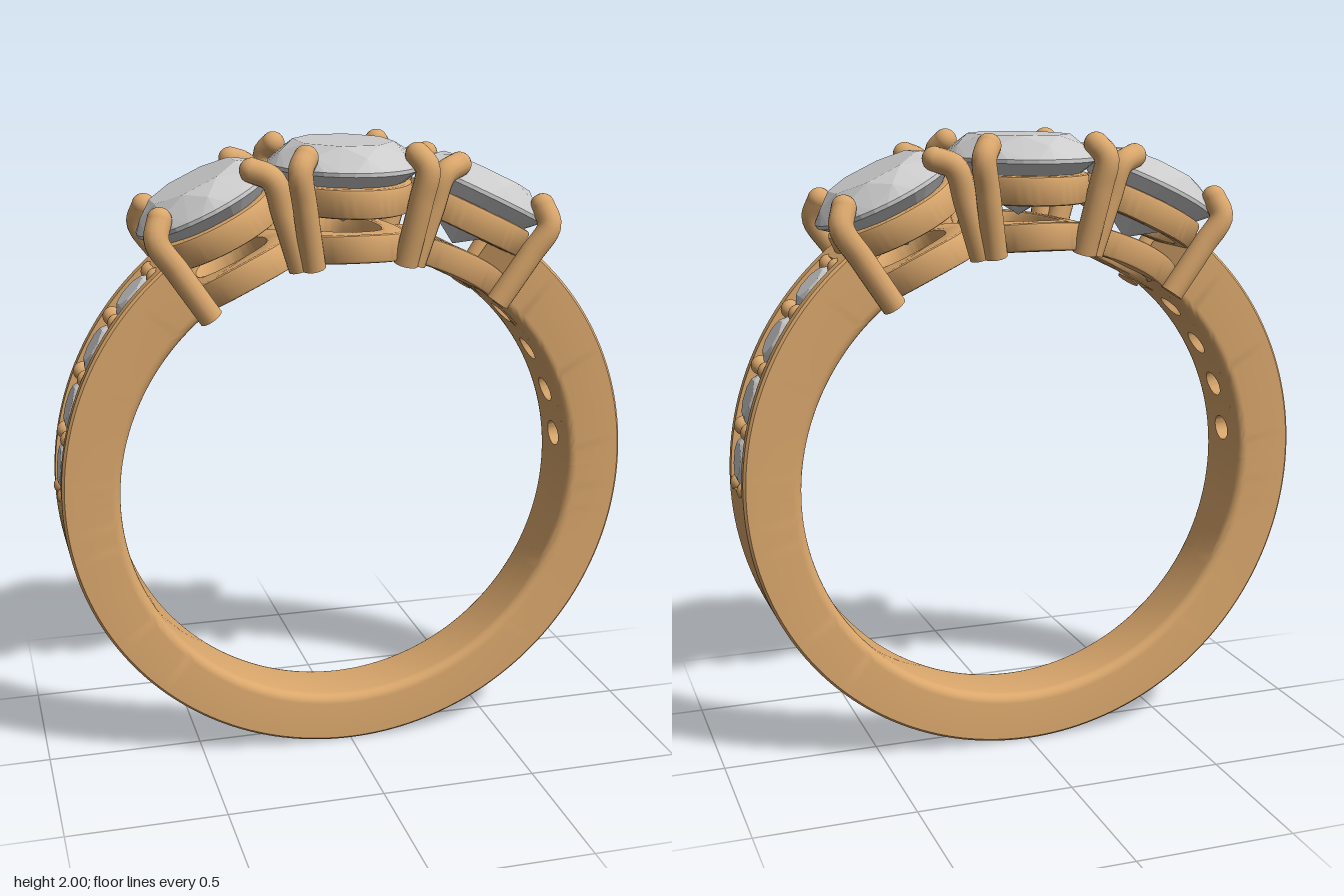
import * as THREE from 'three';
import { toCreasedNormals, mergeGeometries } from 'three/addons/utils/BufferGeometryUtils.js';
import { ConvexGeometry } from 'three/addons/geometries/ConvexGeometry.js';

const metal = new THREE.MeshStandardMaterial({ color: 0xdaa76c });
const gem = new THREE.MeshStandardMaterial({ color: 0xcccccc, flatShading: true });

const CY = 0.905;          // centre height of the finger hole
const RI = 0.743;          // finger hole radius
const CHANNEL = 0.092;     // half width of the stone channel
const START = 0.01, STOP = 0.87, END = 0.93; // channel and band end angles
const STONES = 4;

// Outer circle sits slightly higher than the finger hole, so the band thickens upward
const outerR = t => 0.02 * Math.sin(t) + Math.sqrt(0.925 ** 2 - (0.02 * Math.cos(t)) ** 2);
const floorR = t => outerR(t) - 0.06;
const halfWidth = t => 0.11 + 0.02 * (CY + 0.83 * Math.sin(t));
const polar = (t, r, z) => new THREE.Vector3(r * Math.cos(t), CY + r * Math.sin(t), z);

function mesh(name, geometry, material = metal) {
  const m = new THREE.Mesh(geometry, material);
  m.name = name;
  return m;
}

// Skin over a list of equal-length point loops
function skin(loops) {
  const n = loops[0].length, index = [];
  for (let i = 0; i < loops.length - 1; i++) {
    for (let j = 0; j < n - 1; j++) {
      const a = i * n + j, b = a + n;
      index.push(a, b, a + 1, b, b + 1, a + 1);
    }
  }
  const g = new THREE.BufferGeometry().setFromPoints(loops.flat());
  g.setIndex(index);
  return toCreasedNormals(g, 0.6);
}

// Half of the band section, from the inside face to the outside face at z = -c
function halfSection(t, c) {
  const w = halfWidth(t), R = outerR(t), f = 0.03, e = 0.008;
  const pts = [[RI, -c]];
  for (let k = 0; k <= 5; k++) {
    const a = k / 5 * Math.PI / 2;
    pts.push([RI + f - f * Math.cos(a), -w + f - f * Math.sin(a)]);
  }
  pts.push([R - e, -w], [R, -w + e], [R, -c]);
  if (c > 0) pts.push([floorR(t), -c]);
  return pts;
}

function bandPart(name, t0, t1, c, steps) {
  const parts = [];
  for (const side of [1, -1]) {
    const loopAt = t => {
      const pts = halfSection(t, c).map(([r, z]) => polar(t, r, z * side));
      return side > 0 ? pts : pts.reverse();
    };
    const loops = [];
    for (let i = 0; i <= steps; i++) loops.push(loopAt(t0 + (t1 - t0) * i / steps));
    parts.push(skin(loops));
    if (c === 0) { // end faces of a solid piece
      const first = loops[0], last = loops[steps];
      parts.push(skin([first.map(() => first[0]), first]));
      parts.push(skin([last, last.map(() => last[0])]));
    }
  }
  return mesh(name, mergeGeometries(parts));
}

// Piece of the channel bed with a round hole through the band
function channelBed(tc, half) {
  const N = 32, h = 0.045, loops = [[], [], [], []];
  for (let j = 0; j <= N; j++) {
    const a = j / N * Math.PI * 2, x = Math.cos(a), z = Math.sin(a);
    const k = 1 / Math.max(Math.abs(x), Math.abs(z));
    const tb = tc + half * k * x, th = tc + h * x / 0.8;
    loops[0].push(polar(tb, RI, CHANNEL * k * z));
    loops[1].push(polar(th, RI, h * z));
    loops[2].push(polar(th, floorR(th), h * z));
    loops[3].push(polar(tb, floorR(tb), CHANNEL * k * z));
  }
  return mesh('channelBed', skin(loops));
}

// Faceted stone with its girdle at y = 0
function stoneGeometry(a, b, crown, depth, girdleSides = 32) {
  const pts = [];
  const ring = (n, s, y, shift = 0) => {
    for (let i = 0; i < n; i++) {
      const t = (i + shift) / n * Math.PI * 2;
      pts.push(new THREE.Vector3(a * s * Math.cos(t), y, b * s * Math.sin(t)));
    }
  };
  ring(8, 0.66, crown, 0.5);
  ring(8, 0.86, crown * 0.6);
  ring(girdleSides, 1, 0.006);
  ring(girdleSides, 1, -0.006);
  ring(8, 0.55, -depth * 0.55, 0.5);
  pts.push(new THREE.Vector3(0, -depth, 0));
  return new ConvexGeometry(pts);
}

// Oval rail between heights y0 and y1; a bent rail follows the finger hole
function rail(name, a, b, wall, y0, y1, bent) {
  const e = 0.01;
  const shape = new THREE.Shape().absellipse(0, 0, a, b, 0, Math.PI * 2, false, 0);
  shape.holes.push(new THREE.Path().absellipse(0, 0, a - wall, b - wall, 0, Math.PI * 2, true, 0));
  const g = new THREE.ExtrudeGeometry(shape, {
    depth: y1 - y0 - 2 * e, curveSegments: 48,
    bevelThickness: e, bevelSize: e, bevelOffset: -e, bevelSegments: 2,
  });
  g.rotateX(-Math.PI / 2).translate(0, y0 + e, 0);
  if (bent) {
    const p = g.attributes.position;
    for (let i = 0; i < p.count; i++) p.setY(i, Math.sqrt(p.getY(i) ** 2 - p.getX(i) ** 2));
  }
  return mesh(name, toCreasedNormals(g, 0.7));
}

function prong(points, sx, sz) {
  const r = 0.038, group = new THREE.Group();
  group.name = 'prong';
  const pts = points.map(([x, y, z]) => new THREE.Vector3(x * sx, y, z * sz));
  const curve = new THREE.CatmullRomCurve3(pts);
  const tip = mesh('prongTip', new THREE.SphereGeometry(r, 16, 12));
  tip.position.copy(pts[pts.length - 1]);
  const foot = mesh('prongFoot', new THREE.CircleGeometry(r, 16));
  foot.position.copy(pts[0]);
  foot.lookAt(pts[0].clone().sub(curve.getTangent(0)));
  group.add(mesh('prongShaft', new THREE.TubeGeometry(curve, 24, r, 14)), tip, foot);
  return group;
}

// Complete setting, standing on the finger hole and tilted round its centre
function setting(name, tilt, s) {
  const group = new THREE.Group();
  group.name = name;
  group.position.y = CY;
  group.rotation.z = -tilt;
  const stone = mesh('stone', stoneGeometry(s.a, s.b, 0.073, 0.18), gem);
  stone.position.y = 1.012;
  group.add(stone,
    rail('upperRail', s.upper[0], s.upper[1], 0.055, 0.88, 0.968, false),
    rail('lowerRail', s.lower[0], s.lower[1], 0.075, 0.743, 0.83, true));
  for (const sx of [1, -1]) for (const sz of [1, -1]) group.add(prong(s.prong, sx, sz));
  return group;
}

export function createModel() {
  const ring = new THREE.Group();
  ring.name = 'ring';

  // Band: plain lower part, channelled shoulders, solid shoulder ends
  ring.add(bandPart('band', -Math.PI - START, START, 0, 96));
  const step = (STOP - START) / STONES;
  const smallStone = stoneGeometry(0.088, 0.088, 0.032, 0.07, 24);
  const bead = new THREE.SphereGeometry(0.03, 14, 10);
  for (const right of [true, false]) {
    const at = t => right ? t : Math.PI - t;
    const part = (name, a, b, c, n) =>
      bandPart(name, Math.min(at(a), at(b)), Math.max(at(a), at(b)), c, n);
    ring.add(part('shoulderWalls', START, STOP, CHANNEL, 32));
    ring.add(part('shoulderEnd', STOP, END, 0, 4));

    for (let i = 0; i < STONES; i++) {
      const t = at(START + step * (i + 0.5));
      ring.add(channelBed(t, step / 2));
      const stone = mesh('shoulderStone', smallStone, gem);
      stone.position.copy(polar(t, outerR(t) - 0.034, 0));
      stone.rotation.z = t - Math.PI / 2;
      ring.add(stone);
    }
    // Pairs of beads between the small stones
    for (let i = 0; i <= STONES; i++) {
      const t = at(START + step * i + (i === 0 ? 0.015 : i === STONES ? -0.015 : 0));
      for (const z of [-0.058, 0.058]) {
        const b = mesh('bead', bead);
        b.position.copy(polar(t, outerR(t) - 0.021, z));
        ring.add(b);
      }
    }
  }

  // Oval centre setting and two round side settings
  ring.add(setting('centreSetting', 0, {
    a: 0.232, b: 0.322, upper: [0.205, 0.308], lower: [0.185, 0.27],
    prong: [[0.145, 0.725, 0.2], [0.18, 0.92, 0.238], [0.195, 1.02, 0.25], [0.172, 1.057, 0.222]],
  }));
  for (const side of [1, -1]) {
    ring.add(setting('sideSetting', side * 0.453, {
      a: 0.227, b: 0.227, upper: [0.21, 0.21], lower: [0.195, 0.195],
      prong: [[0.155, 0.725, 0.175], [0.18, 0.9, 0.187], [0.194, 1.01, 0.192], [0.155, 1.057, 0.165]],
    }));
  }
  return ring;
}
